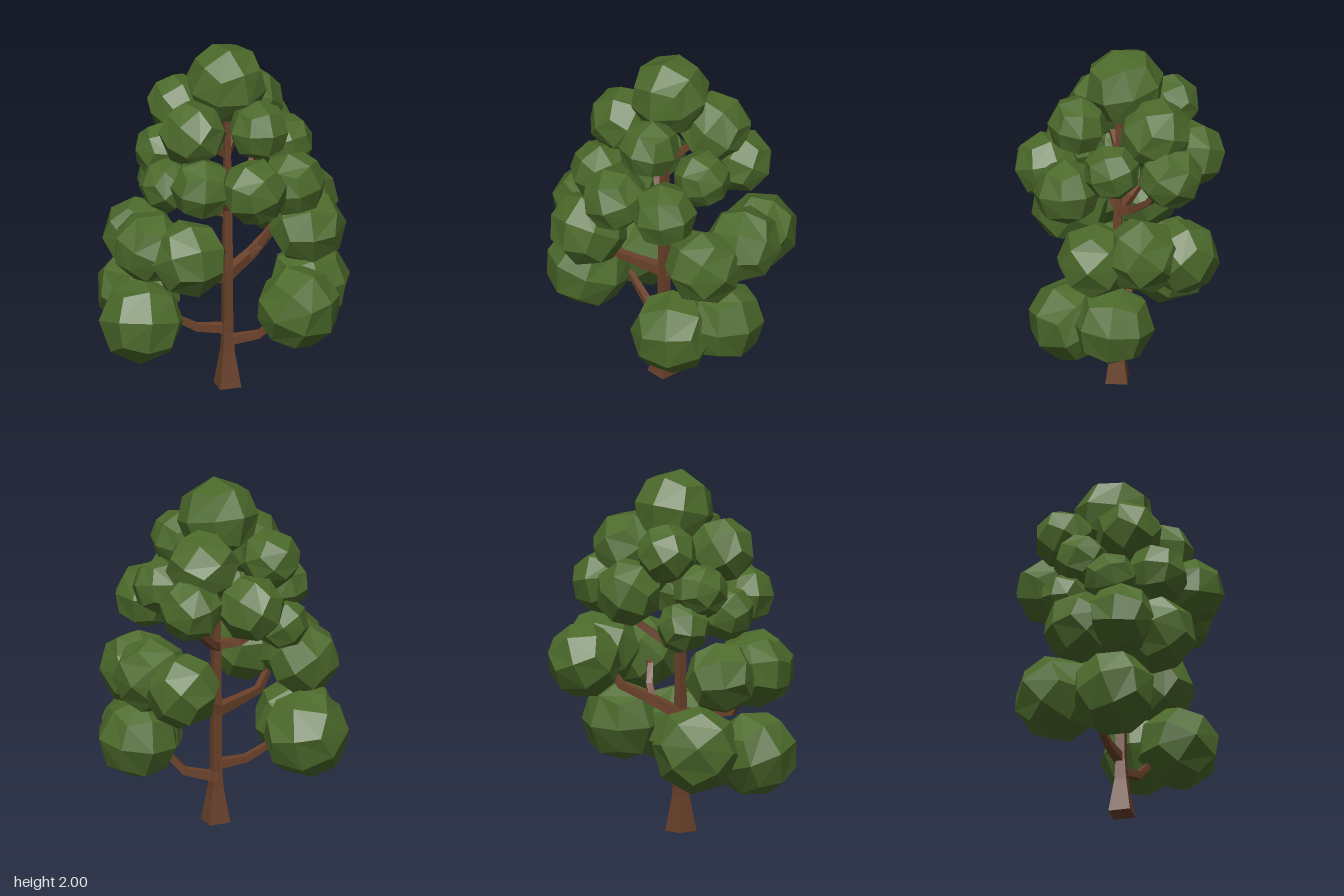
import * as THREE from 'three';

const leafMat = new THREE.MeshStandardMaterial({ color: 0x4c6a2b, flatShading: true });
const barkMat = new THREE.MeshStandardMaterial({ color: 0x6a412a, flatShading: true });

// Rounded cube with two by two faces per side
function makeClumpGeometry() {
  const geo = new THREE.BoxGeometry(2, 2, 2, 2, 2, 2);
  const pos = geo.attributes.position;
  const v = new THREE.Vector3();
  for (let i = 0; i < pos.count; i++) {
    v.fromBufferAttribute(pos, i).normalize();
    pos.setXYZ(i, v.x, v.y, v.z);
  }
  return geo;
}

// Square limb through stations [x, y, z, halfWidth]
function limb(name, stations) {
  const pts = stations.map(s => new THREE.Vector3(s[0], s[1], s[2]));
  const verts = [];
  const index = [];
  const last = pts.length - 1;
  pts.forEach((p, i) => {
    const t = pts[Math.min(i + 1, last)].clone().sub(pts[Math.max(i - 1, 0)]).normalize();
    const ref = Math.abs(t.y) > 0.95 ? new THREE.Vector3(0, 0, 1) : new THREE.Vector3(0, 1, 0);
    const u = new THREE.Vector3().crossVectors(ref, t).normalize();
    const w = new THREE.Vector3().crossVectors(t, u);
    const h = stations[i][3];
    for (const [a, b] of [[-1, -1], [1, -1], [1, 1], [-1, 1]]) {
      verts.push(...p.clone().addScaledVector(u, a * h).addScaledVector(w, b * h).toArray());
    }
  });
  for (let i = 0; i < last; i++) {
    for (let k = 0; k < 4; k++) {
      const a = i * 4 + k, b = i * 4 + (k + 1) % 4;
      index.push(a, b, b + 4, a, b + 4, a + 4);
    }
  }
  const e = last * 4;
  index.push(0, 2, 1, 0, 3, 2, e, e + 1, e + 2, e, e + 2, e + 3);
  const geo = new THREE.BufferGeometry();
  geo.setAttribute('position', new THREE.Float32BufferAttribute(verts, 3));
  geo.setIndex(index);
  geo.computeVertexNormals();
  const mesh = new THREE.Mesh(geo, barkMat);
  mesh.name = name;
  return mesh;
}

// Leaf clumps of each tier: x, y, z, radius
const upperClumps = [
  [-0.205, 1.57, 0.11, 0.19], [0.14, 1.595, 0.22, 0.17],
  [0.2, 1.58, -0.21, 0.205], [-0.18, 1.59, -0.26, 0.17],
];
const middleClumps = [
  [-0.2, 1.31, 0.27, 0.175], [0.06, 1.31, 0.4, 0.185], [0.32, 1.275, 0.27, 0.185],
  [0.35, 1.415, 0.02, 0.16], [0.31, 1.38, -0.3, 0.18], [-0.01, 1.37, -0.39, 0.19],
  [-0.31, 1.385, -0.13, 0.155], [-0.27, 1.19, -0.22, 0.15], [-0.33, 1.25, 0.04, 0.155],
];
const lowerClumps = [
  [0.455, 0.93, 0.1, 0.215], [0.485, 0.98, -0.16, 0.215], [0.39, 0.94, -0.37, 0.21],
  [-0.28, 0.91, 0.29, 0.22], [-0.46, 0.935, 0.13, 0.205], [-0.45, 0.92, -0.1, 0.205],
];
const bottomClumps = [
  [-0.495, 0.485, 0.1, 0.24], [-0.405, 0.53, -0.24, 0.245],
  [0.36, 0.52, 0.245, 0.235], [0.495, 0.56, 0, 0.23],
];

// Bent branches of each tier: x, y, z, half width
const upperBranches = [
  [[0.02, 1.36, 0, 0.018], [-0.09, 1.46, 0.05, 0.014], [-0.2, 1.55, 0.1, 0.01]],
  [[0.02, 1.36, 0, 0.018], [0.1, 1.45, -0.1, 0.014], [0.19, 1.55, -0.2, 0.01]],
];
const middleBranches = [
  [[0.02, 1.03, 0, 0.025], [-0.1, 1.05, -0.05, 0.019], [-0.19, 1.13, -0.12, 0.015], [-0.27, 1.2, -0.2, 0.01]],
  [[0.02, 1.02, 0, 0.025], [0.08, 1.06, -0.07, 0.02], [0.2, 1.17, -0.18, 0.016], [0.3, 1.35, -0.28, 0.01]],
  [[0.02, 1.03, 0, 0.022], [0.01, 1.15, 0.07, 0.016], [0.05, 1.28, 0.35, 0.01]],
];
const lowerBranches = [
  [[0.02, 0.65, 0, 0.03], [-0.13, 0.665, 0.06, 0.024], [-0.28, 0.685, 0.12, 0.02], [-0.4, 0.88, 0.15, 0.012]],
  [[0.02, 0.65, 0, 0.03], [0.19, 0.73, -0.08, 0.025], [0.31, 0.79, -0.17, 0.02], [0.44, 0.94, -0.2, 0.012]],
  [[0.17, 0.72, -0.07, 0.02], [0.23, 0.79, -0.04, 0.018], [0.27, 0.89, 0, 0.015], [0.4, 0.95, 0.06, 0.01]],
];
const bottomBranches = [
  [[0.02, 0.335, 0, 0.026], [-0.14, 0.35, -0.02, 0.02], [-0.27, 0.42, -0.04, 0.016], [-0.42, 0.5, -0.06, 0.012]],
  [[0.02, 0.26, 0, 0.026], [0.19, 0.3, 0.06, 0.02], [0.25, 0.37, 0.09, 0.017], [0.38, 0.52, 0.17, 0.012]],
];

export function createModel() {
  const tree = new THREE.Group();
  tree.name = 'tree';

  tree.add(limb('trunk', [
    [0.024, 0, 0.013, 0.061], [0.024, 0.2, 0.012, 0.033], [0.024, 0.32, 0.01, 0.026],
    [0.024, 0.65, 0.01, 0.025], [0.024, 1.03, 0.01, 0.022], [0.022, 1.75, 0, 0.014],
  ]));

  const clumpGeo = makeClumpGeometry();
  let n = 0;
  function addClump(parent, [x, y, z, r]) {
    const clump = new THREE.Mesh(clumpGeo, leafMat);
    clump.name = 'leafClump';
    clump.position.set(x, y, z);
    clump.scale.setScalar(r);
    // each clump is turned differently
    clump.rotation.set(0.25 + n * 1.3, 0.3 + n * 2.1, n * 0.7);
    parent.add(clump);
    n++;
  }

  // Single clump at the treetop
  addClump(tree, [0.03, 1.785, -0.03, 0.225]);

  // Each tier: clumps with the branches that carry them
  function addTier(name, clumps, branches) {
    const tier = new THREE.Group();
    tier.name = name;
    clumps.forEach(c => addClump(tier, c));
    branches.forEach(b => tier.add(limb('branch', b)));
    tree.add(tier);
  }
  addTier('upperTier', upperClumps, upperBranches);
  addTier('middleTier', middleClumps, middleBranches);
  addTier('lowerTier', lowerClumps, lowerBranches);
  addTier('bottomTier', bottomClumps, bottomBranches);
  return tree;
}
